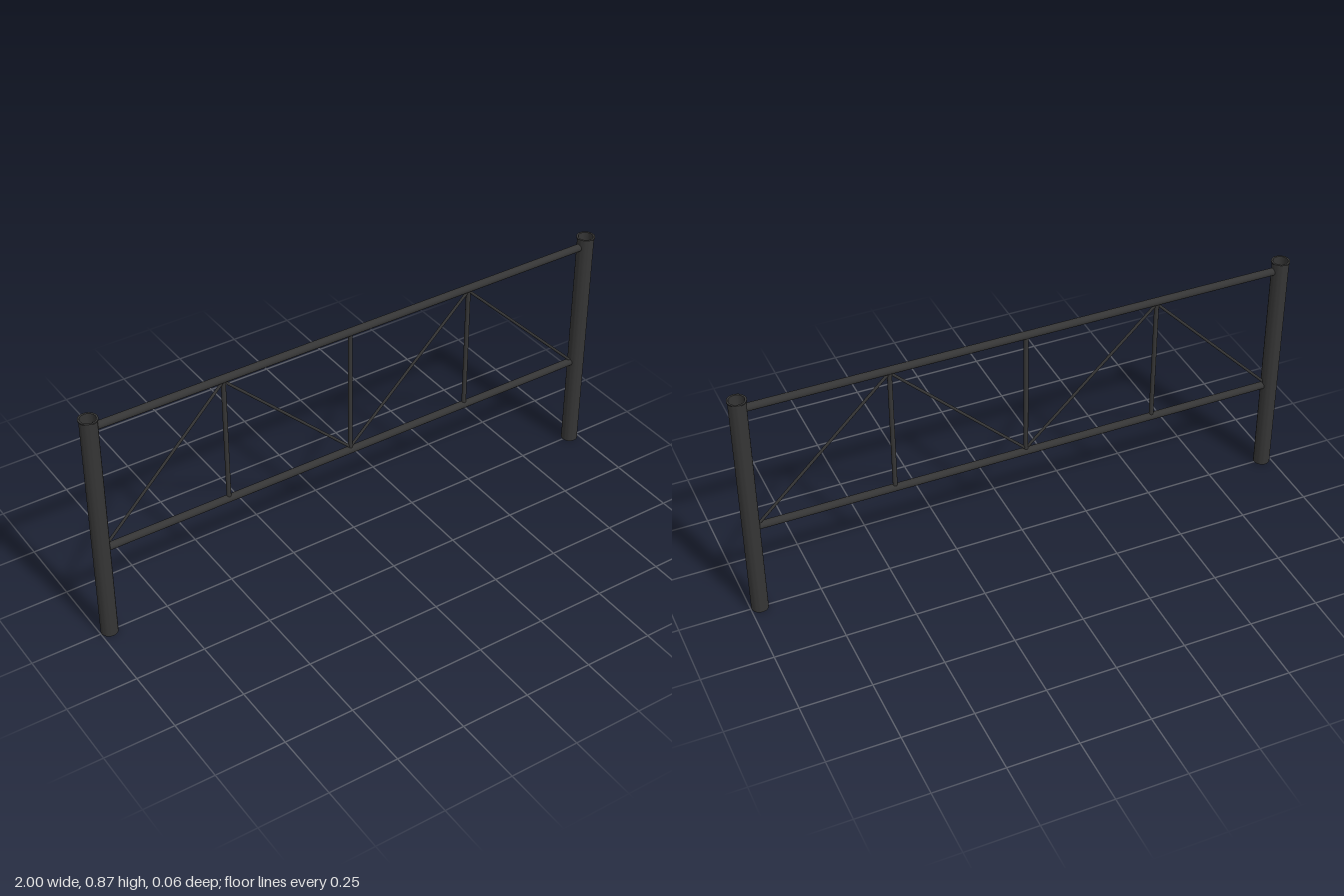
import * as THREE from 'three';
import { toCreasedNormals } from 'three/addons/utils/BufferGeometryUtils.js';

export function createModel() {
  const model = new THREE.Group();
  model.name = 'trussBarrier';
  const steel = new THREE.MeshStandardMaterial({ color: 0x353535 });
  steel.name = 'dark steel';

  // Round bar between two points in the plane of the frame
  function bar(name, x1, y1, x2, y2, radius, sides) {
    const a = new THREE.Vector3(x1, y1, 0);
    const b = new THREE.Vector3(x2, y2, 0);
    const dir = b.clone().sub(a);
    const mesh = new THREE.Mesh(new THREE.CylinderGeometry(radius, radius, dir.length(), sides), steel);
    mesh.position.copy(a).add(b).multiplyScalar(0.5);
    mesh.quaternion.setFromUnitVectors(new THREE.Vector3(0, 1, 0), dir.normalize());
    mesh.name = name;
    model.add(mesh);
  }

  // Hollow posts, open at both ends, with a small lip at the top
  const profile = [
    [0.026, 0], [0.0295, 0], [0.0295, 0.865], [0.0325, 0.867],
    [0.0325, 0.871], [0.026, 0.871], [0.026, 0],
  ].map(([r, y]) => new THREE.Vector2(r, y));
  const postGeometry = toCreasedNormals(new THREE.LatheGeometry(profile, 32), 0.5);
  for (const side of [-1, 1]) {
    const post = new THREE.Mesh(postGeometry, steel);
    post.position.x = side * 0.9675;
    post.name = side > 0 ? 'leftPost' : 'rightPost';
    model.add(post);
  }

  // Horizontal rails, their ends reaching just inside the posts
  const topY = 0.834, lowY = 0.351;
  bar('topRail', -0.95, topY, 0.95, topY, 0.0135, 20);
  bar('bottomRail', -0.95, lowY, 0.95, lowY, 0.0135, 20);

  // Upright struts
  const struts = [-0.494, -0.014, 0.464];
  for (const x of struts) bar('upright', x, lowY, x, topY, 0.008, 16);

  // Zigzag braces
  const zigzag = [-0.946, ...struts, 0.936];
  for (let i = 0; i < 4; i++) {
    const rising = i % 2 === 0;
    bar('brace', zigzag[i], rising ? 0.363 : 0.825, zigzag[i + 1], rising ? 0.825 : 0.363, 0.005, 12);
  }
  return model;
}
